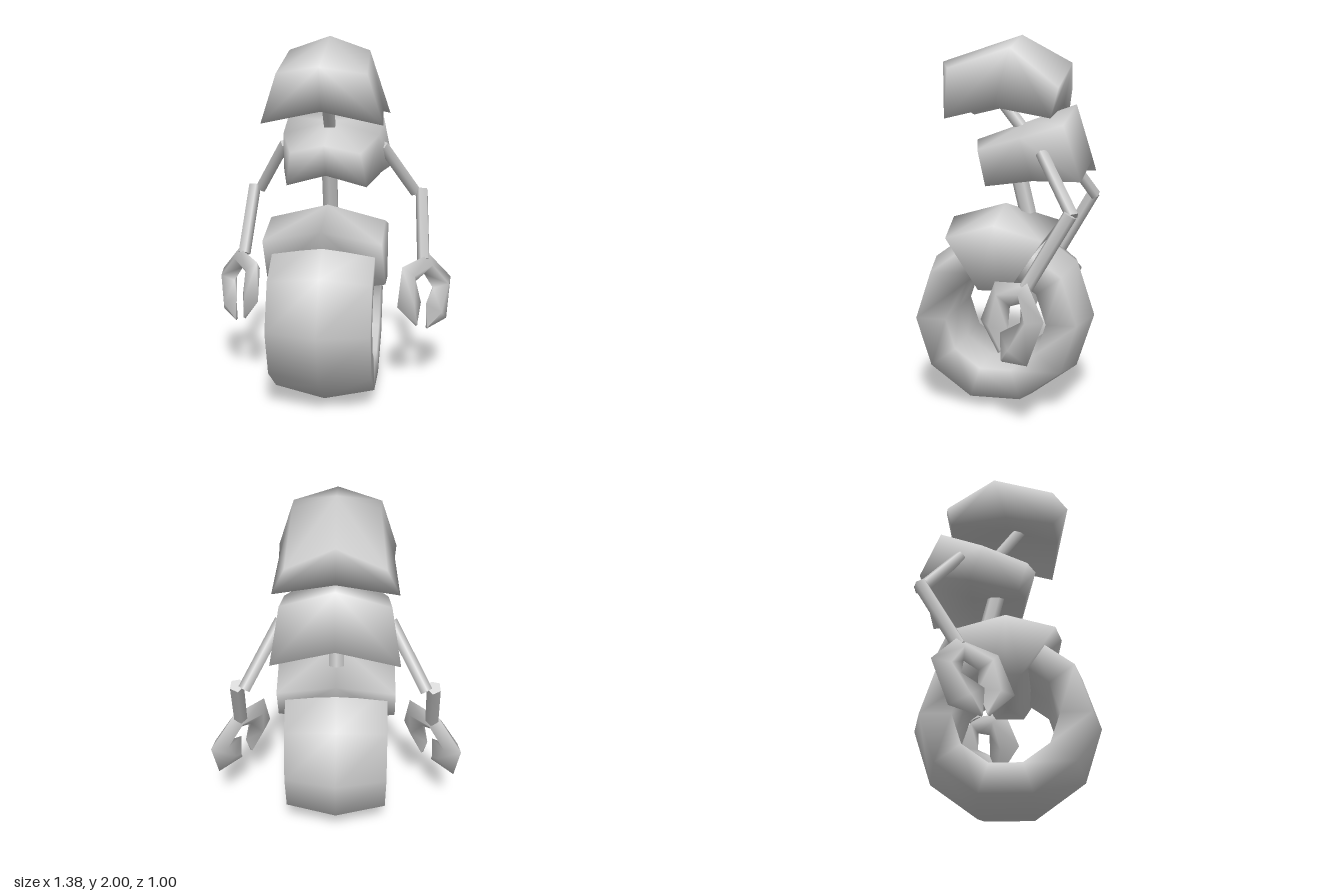
import * as THREE from 'three';

const shellGrey = new THREE.MeshStandardMaterial({ color: 0xcccccc, side: THREE.DoubleSide });
shellGrey.name = 'shellGrey';

function mesh(name, geometry, parent) {
  const m = new THREE.Mesh(geometry, shellGrey);
  m.name = name;
  parent.add(m);
  return m;
}

function smoothGeometry(positions, index) {
  const g = new THREE.BufferGeometry();
  g.setAttribute('position', new THREE.Float32BufferAttribute(positions, 3));
  g.setIndex(index);
  g.computeVertexNormals();
  return g;
}

// Closed rounded block: three top rows and three bottom rows, front to back.
// Each row is [centreY, centreZ, sideX, sideY, sideZ], mirrored in x.
function block(top, bottom) {
  const pos = [], index = [];
  for (const [cy, cz, sx, sy, sz] of [...top, ...bottom]) {
    pos.push(-sx, sy, sz, 0, cy, cz, sx, sy, sz);
  }
  const ring = [0, 1, 2, 5, 8, 7, 6, 3];
  ring.forEach((a, k) => {
    const b = ring[(k + 1) % 8];
    index.push(4, a, b);
    index.push(13, b + 9, a + 9);
    // split the walls symmetrically
    if (k % 2) index.push(a + 9, b + 9, a, b + 9, b, a);
    else index.push(a + 9, b + 9, b, a + 9, b, a);
  });
  return smoothGeometry(pos, index);
}

// Straight rod between two points
function rod(name, from, to, radius, sides, parent) {
  const a = new THREE.Vector3(...from), b = new THREE.Vector3(...to);
  const dir = b.clone().sub(a);
  const m = mesh(name, new THREE.CylinderGeometry(radius, radius, dir.length(), sides), parent);
  m.position.copy(a).add(b).multiplyScalar(0.5);
  m.quaternion.setFromUnitVectors(new THREE.Vector3(0, 1, 0), dir.normalize());
}

// Curved gripper swept from diamond sections:
// [outerU, outerY, innerU, innerY, sideways offset, half thickness]
function claw(side) {
  const sections = [
    [0.1, 0.375, 0.085, 0.39, 0.02, 0.008],
    [0.255, 0.52, 0.04, 0.5, 0.007, 0.04],
    [0.177, 0.73, 0.06, 0.62, -0.025, 0.045],
    [-0.07, 0.76, -0.025, 0.65, -0.025, 0.045],
    [-0.23, 0.6, -0.06, 0.565, 0.015, 0.05],
    [-0.15, 0.37, 0.05, 0.5, 0.05, 0.04],
    [0.037, 0.35, 0.04, 0.37, 0.05, 0.008],
  ];
  const pos = [], index = [];
  const put = (u, y, n) => pos.push(side * (0.54 - 0.59 * u + 0.806 * n), y, -0.16 + 0.806 * u + 0.59 * n);
  for (const [ou, oy, iu, iy, n, t] of sections) {
    const mu = (ou + iu) / 2, my = (oy + iy) / 2;
    put(ou, oy, n);
    put(mu, my, n + t);
    put(iu, iy, n);
    put(mu, my, n - t);
  }
  const tri = (a, b, c) => (side > 0 ? index.push(a, b, c) : index.push(a, c, b));
  for (let i = 0; i < sections.length - 1; i++) {
    for (let j = 0; j < 4; j++) {
      const a = i * 4 + j, b = i * 4 + (j + 1) % 4;
      tri(a, a + 4, b);
      tri(b, a + 4, b + 4);
    }
  }
  // tip caps
  const e = (sections.length - 1) * 4;
  tri(0, 1, 2); tri(0, 2, 3);
  tri(e, e + 2, e + 1); tri(e, e + 3, e + 2);
  return smoothGeometry(pos, index);
}

export function createModel() {
  const model = new THREE.Group();
  model.name = 'wheeledRobot';

  // Single ten-sided wheel with flat sides
  const profile = [[0.275, 0], [0.275, -0.275], [0.44, -0.28], [0.5, 0], [0.44, 0.28], [0.275, 0.275], [0.275, 0]]
    .map(([r, x]) => new THREE.Vector2(r, x));
  const wheel = mesh('wheel', new THREE.LatheGeometry(profile, 10), model);
  wheel.rotation.z = Math.PI / 2;
  wheel.position.y = 0.476;

  // Wedge-shaped fork housing over the wheel
  mesh('fender', block(
    [[1.0, 0.3, 0.32, 0.93, 0.26], [1.085, 0, 0.32, 1.005, 0], [1.0, -0.3, 0.32, 0.93, -0.26]],
    [[0.6, 0.06, 0.33, 0.66, 0.08], [0.6, 0, 0.33, 0.66, 0], [0.6, -0.06, 0.33, 0.66, -0.08]],
  ), model);

  // Torso, tilted back
  mesh('torso', block(
    [[1.435, 0.16, 0.19, 1.39, 0.115], [1.535, -0.12, 0.27, 1.46, -0.13], [1.63, -0.39, 0.28, 1.53, -0.36]],
    [[1.265, 0.1, 0.22, 1.2, 0.065], [1.27, -0.2, 0.28, 1.24, -0.2], [1.34, -0.48, 0.33, 1.245, -0.46]],
  ), model);

  // Head, hollowed underneath
  mesh('head', block(
    [[1.86, 0.355, 0.235, 1.82, 0.265], [2.0, -0.09, 0.22, 1.925, -0.07], [1.85, -0.365, 0.25, 1.72, -0.33]],
    [[1.63, 0.29, 0.32, 1.56, 0.26], [1.72, 0, 0.3, 1.62, 0], [1.63, -0.32, 0.32, 1.565, -0.3]],
  ), model);

  // Neck and waist
  rod('neck', [0, 1.76, 0.11], [0, 1.45, -0.13], 0.035, 6, model);
  rod('waist', [0, 1.3, -0.06], [0, 1.03, -0.125], 0.046, 6, model);

  // Arms
  for (const side of [1, -1]) {
    const arm = new THREE.Group();
    arm.name = side > 0 ? 'leftArm' : 'rightArm';
    model.add(arm);
    rod('upperArm', [side * 0.28, 1.385, -0.25], [side * 0.465, 1.085, -0.44], 0.034, 5, arm);
    rod('forearm', [side * 0.505, 1.1, -0.43], [side * 0.53, 0.73, -0.215], 0.038, 5, arm);
    mesh('claw', claw(side), arm);
  }
  return model;
}
